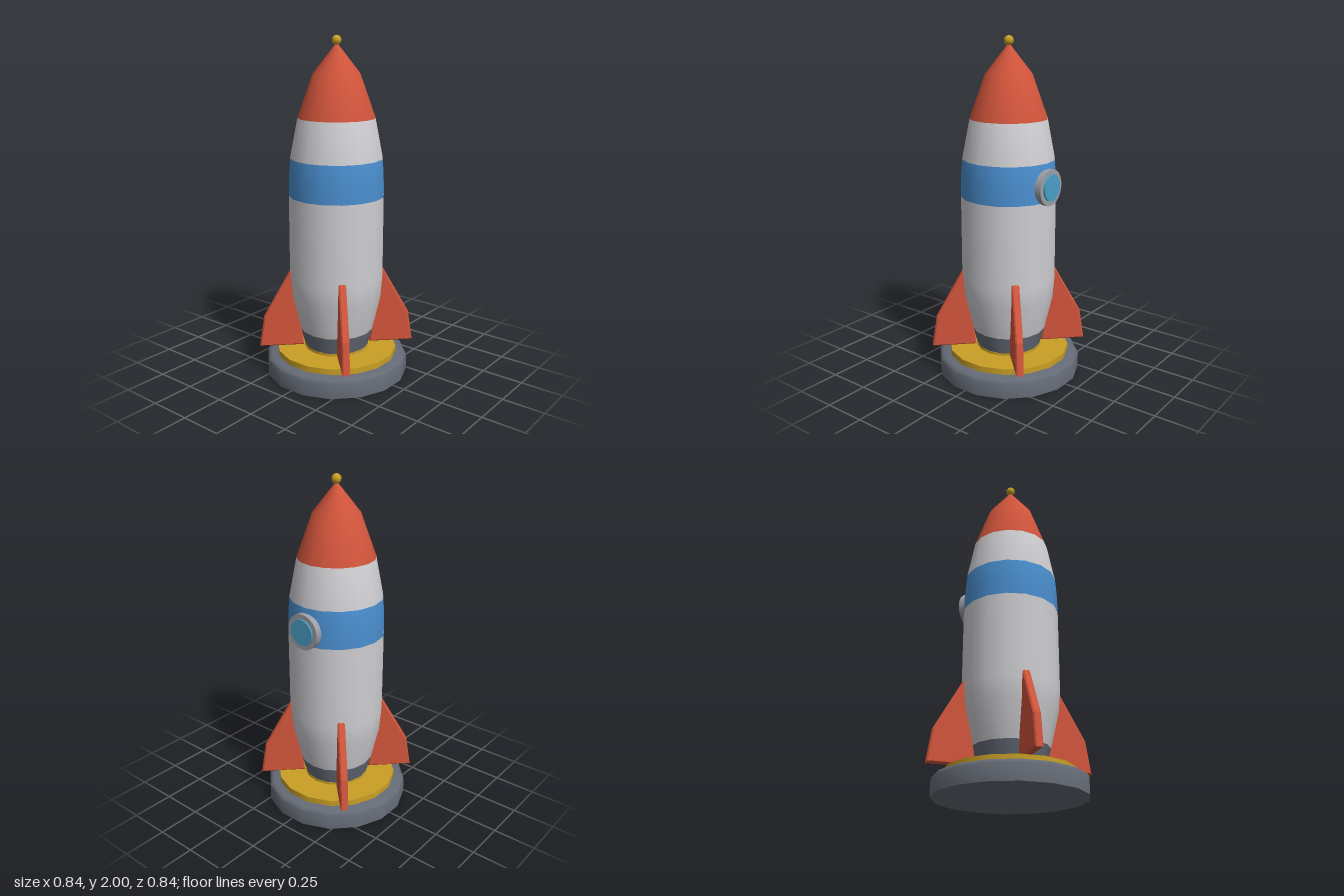
import * as THREE from 'three';
import { toCreasedNormals } from 'three/addons/utils/BufferGeometryUtils.js';

const SIDES = 16;

function material(name, color) {
  const m = new THREE.MeshStandardMaterial({ color });
  m.name = name;
  return m;
}

const profilePoints = (pairs) => pairs.map(([r, y]) => new THREE.Vector2(r, y));

// Keep only the rings from..to of a lathe, so colour bands share smooth normals
function latheBand(lathe, rings, from, to) {
  const index = [];
  for (let i = 0; i < SIDES; i++) {
    for (let j = from; j < to; j++) {
      const a = i * rings + j, b = a + rings;
      index.push(a, b, a + 1, b + 1, a + 1, b);
    }
  }
  const band = lathe.clone();
  band.setIndex(index);
  return band;
}

export function createModel() {
  const red = material('red paint', 0xd2553c);
  const white = material('white paint', 0xcfcfd3);
  const blue = material('blue paint', 0x4a8fd0);
  const gold = material('gold', 0xc99f25);
  const slate = material('slate grey', 0x656b76);
  const steel = material('light steel', 0x9c9fa6);
  const glass = material('window glass', 0x4aa0c8);

  const model = new THREE.Group();
  model.name = 'rocket';
  function add(name, geometry, mat, parent = model) {
    const mesh = new THREE.Mesh(geometry, mat);
    mesh.name = name;
    parent.add(mesh);
    return mesh;
  }

  // Stand: rounded slab, gold disc and small pedestal
  const slab = new THREE.LatheGeometry(profilePoints([
    [0, 0], [0.428, 0], [0.428, 0.09], [0.42, 0.107], [0.4, 0.115], [0, 0.115],
  ]), SIDES, Math.PI / SIDES);
  add('standBase', toCreasedNormals(slab, 0.8), slate);

  const disc = new THREE.CylinderGeometry(0.362, 0.362, 0.04, SIDES);
  disc.rotateY(Math.PI / SIDES).translate(0, 0.13, 0);
  add('standDisc', disc, gold);
  const pedestal = new THREE.CylinderGeometry(0.195, 0.195, 0.03, SIDES);
  add('standPedestal', pedestal.translate(0, 0.15, 0), gold);

  // Hull: one profile from tail to tip, divided into colour bands
  const hull = [
    [0, 0.16], [0.192, 0.16], [0.192, 0.16], [0.222, 0.27], // tail
    [0.27, 0.48], [0.28, 0.6], [0.28, 1.09],                // lower hull
    [0.278, 1.2], [0.27, 1.31],                             // stripe
    [0.225, 1.54],                                          // shoulder
    [0.135, 1.79], [0, 1.96],                               // nose
  ];
  const lathe = new THREE.LatheGeometry(profilePoints(hull), SIDES);
  const bands = [
    ['tail', slate, 0, 3], ['lowerHull', white, 3, 6], ['hullStripe', blue, 6, 8],
    ['shoulder', white, 8, 9], ['noseCone', red, 9, 11],
  ];
  for (const [name, mat, from, to] of bands) {
    add(name, latheBand(lathe, hull.length, from, to), mat);
  }

  // Tip ball
  const ball = new THREE.SphereGeometry(0.028, 10, 8);
  add('tipBall', ball.translate(0, 1.972, 0), gold);

  // Porthole on the left side, facing +x
  const porthole = new THREE.Group();
  porthole.name = 'porthole';
  porthole.position.set(0, 1.175, 0);
  model.add(porthole);
  const rim = new THREE.CylinderGeometry(0.105, 0.105, 0.047, 24);
  add('portholeRim', rim.rotateZ(-Math.PI / 2).translate(0.2735, 0, 0), steel, porthole);
  const pane = new THREE.CylinderGeometry(0.076, 0.076, 0.03, 24);
  add('portholeGlass', pane.rotateZ(-Math.PI / 2).translate(0.292, 0, 0), glass, porthole);

  // Four bevelled fins on the diagonals
  const bevel = 0.008, thickness = 0.044;
  const outline = new THREE.Shape(profilePoints([
    [0.21, 0.168], [0.46, 0.168], [0.432, 0.345], [0.277, 0.622], [0.262, 0.622],
  ]));
  const fin = new THREE.ExtrudeGeometry(outline, {
    depth: thickness - 2 * bevel, bevelEnabled: true,
    bevelSize: bevel, bevelThickness: bevel, bevelSegments: 1,
  });
  fin.translate(0, 0, bevel - thickness / 2);
  for (let i = 0; i < 4; i++) {
    add('fin', fin, red).rotation.y = Math.PI / 4 + i * Math.PI / 2;
  }

  return model;
}
